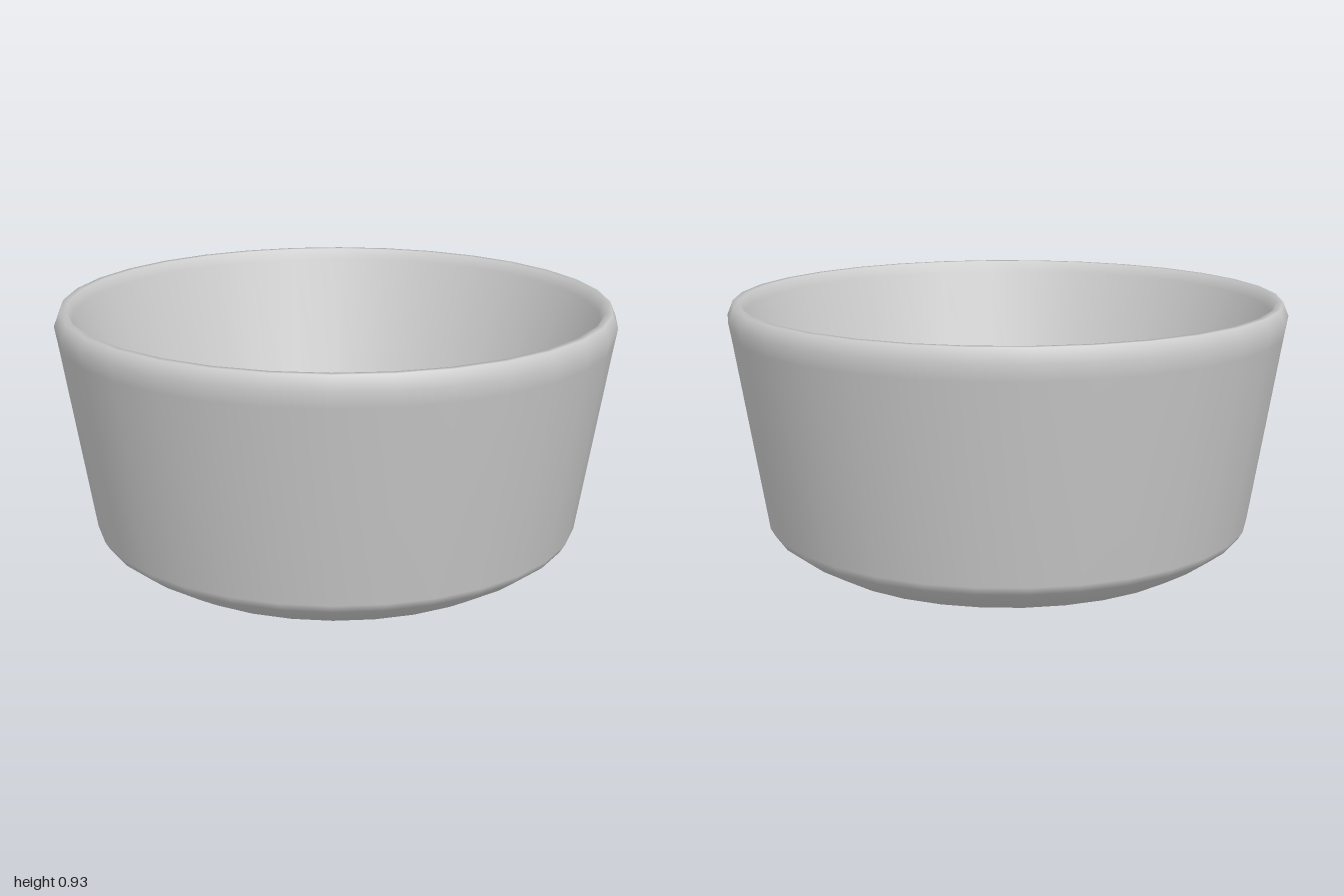
import * as THREE from 'three';

export function createModel() {
  const group = new THREE.Group();
  group.name = 'bowl';
  const material = new THREE.MeshStandardMaterial({ color: 0xcccccc });

  // Turned parts share a 32-sided lathe
  const addLathe = (name, profile) => {
    const points = profile.map(([r, y]) => new THREE.Vector2(r, y));
    const mesh = new THREE.Mesh(new THREE.LatheGeometry(points, 32), material);
    mesh.name = name;
    group.add(mesh);
  };

  // Closed section: underside, rounded foot, outer wall, rim, inner wall, floor
  addLathe('bowlBody', [
    [0, 0], [0.69, 0], [0.71, 0.003],
    [0.8, 0.055], [0.86, 0.1], [0.878, 0.13],
    [0.99, 0.825], [1, 0.88], [0.98, 0.93],
    [0.955, 0.93], [0.94, 0.89],
    [0.66, 0.17], [0.635, 0.14], [0.56, 0.12], [0, 0.115],
  ]);

  return group;
}
